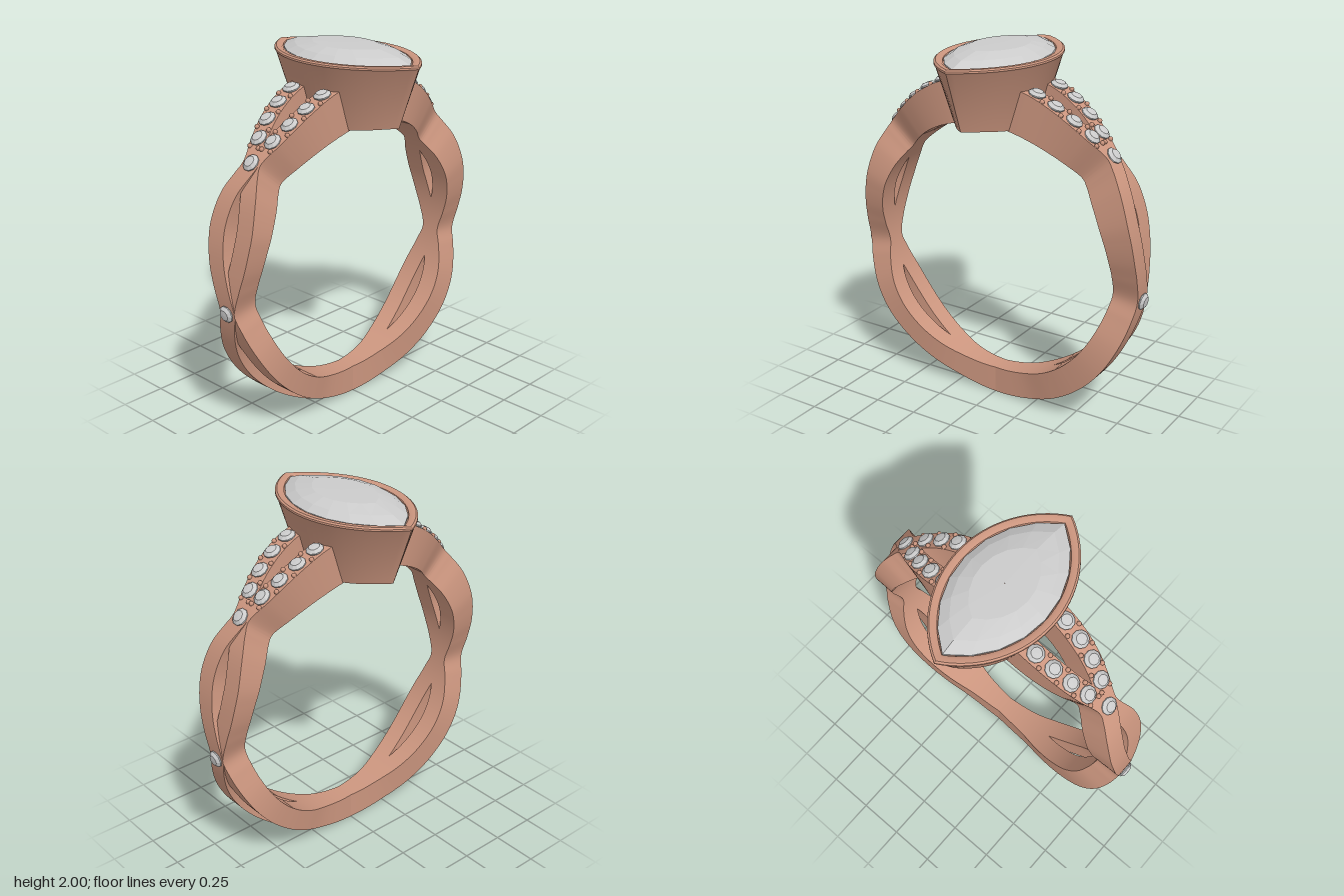
import * as THREE from 'three';
import { toCreasedNormals } from 'three/addons/utils/BufferGeometryUtils.js';

const CY = 0.88, INNER = 0.728, HALF_W = 0.055;
const metal = new THREE.MeshStandardMaterial({ color: 0xcc967f });
const gem = new THREE.MeshStandardMaterial({ color: 0xcccccc, flatShading: true });

function mesh(name, geo, mat) {
  const m = new THREE.Mesh(geo, mat);
  m.name = name;
  return m;
}

// Skins a row of closed cross-sections
function loft(sections, crease = 0.5) {
  const pos = [], index = [], n = sections[0].length;
  sections.forEach(s => s.forEach(p => pos.push(p.x, p.y, p.z)));
  for (let i = 0; i < sections.length - 1; i++)
    for (let j = 0; j < n; j++) {
      const k = (j + 1) % n, a = i * n + j, b = i * n + k;
      index.push(a, b, b + n, a, b + n, a + n);
    }
  const g = new THREE.BufferGeometry();
  g.setAttribute('position', new THREE.Float32BufferAttribute(pos, 3));
  g.setIndex(index);
  return toCreasedNormals(g, crease);
}

// Pointed oval of two arcs: half width b, half length a
function marquise(b, a, y, n) {
  const r = (a * a + b * b) / (2 * b), end = Math.asin(Math.min(1, a / r)), pts = [];
  for (const side of [1, -1])
    for (let i = 0; i < n; i++) {
      const t = end * (1 - 2 * i / n);
      pts.push(new THREE.Vector3(
        side * (r * Math.cos(t) - (r - b)),
        y, side * r * Math.sin(t)));
    }
  return pts;
}

// Point on the ring, angle measured from the bottom
const onRing = (t, r, z) => new THREE.Vector3(r * Math.sin(t), CY - r * Math.cos(t), z);

// Strand path: angle in degrees, sideways offset, outer radius
const path = new THREE.CatmullRomCurve3([
  [0, 0, 0.88], [15, 0.02, 0.88], [27, 0.052, 0.88], [39, 0.075, 0.88], [53, 0.085, 0.88],
  [64, 0.07, 0.877], [75, 0.028, 0.873], [82, 0, 0.871], [91, 0.032, 0.872], [98, 0.06, 0.876],
  [105, 0.077, 0.884], [112, 0.083, 0.893], [122, 0.06, 0.908], [129, 0.022, 0.912], [133, 0.006, 0.915],
  [141.6, 0.05, 0.917], [148.6, 0.08, 0.928], [155.6, 0.1, 0.941], [162.5, 0.111, 0.953], [169, 0.114, 0.958],
].map(([d, z, r]) => new THREE.Vector3(THREE.MathUtils.degToRad(d), z, r)));
const samples = path.getPoints(152);

// Path values at an angle
function pathAt(deg) {
  const t = THREE.MathUtils.degToRad(deg);
  return samples.reduce((a, b) => Math.abs(b.x - t) < Math.abs(a.x - t) ? b : a);
}

// One strand with a flat four-sided section; the lower one dips between crossings
function strand(side) {
  return loft(samples.map(({ x: t, y: z, z: r }) => {
    const deg = THREE.MathUtils.radToDeg(t);
    let dip = 0;
    if (side < 0 && deg < 82) dip = 0.035 * Math.sin(Math.PI * deg / 82);
    else if (side < 0 && deg < 133) dip = 0.03 * Math.sin(Math.PI * (deg - 82) / 51);
    const R = r - dip, c = side * z;
    return [onRing(t, R, c + HALF_W), onRing(t, R, c - HALF_W),
      onRing(t, INNER, c - HALF_W), onRing(t, INNER, c + HALF_W)];
  }));
}

const smallGem = new THREE.LatheGeometry(
  [[0, -0.04], [0.046, 0], [0.046, 0.006], [0.029, 0.02], [0, 0.022]].map(p => new THREE.Vector2(...p)), 10);
const bead = new THREE.SphereGeometry(0.013, 8, 6);

function place(m, t, r, z) {
  m.position.copy(onRing(t, r, z));
  m.quaternion.setFromUnitVectors(new THREE.Vector3(0, 1, 0), new THREE.Vector3(Math.sin(t), -Math.cos(t), 0));
  return m;
}

function halfShank() {
  const g = new THREE.Group();
  g.name = 'halfShank';
  const stone = (name, deg, side) => {
    const p = pathAt(deg);
    g.add(place(mesh(name, smallGem, gem), p.x, p.z + 0.004, side * p.y));
  };
  stone('sideStone', 82, 0);
  stone('shoulderStone', 133, 0);
  for (const side of [1, -1]) {
    g.add(mesh('strand', strand(side), metal));
    for (const deg of [141.6, 148.6, 155.6, 162.5]) {
      stone('shoulderStone', deg, side);
      // Beads holding the stones, on both edges of the strand
      const p = pathAt(deg - 3.6);
      for (const e of [-1, 1])
        g.add(place(mesh('bead', bead, metal), p.x, p.z + 0.004, side * p.y + e * 0.043));
    }
  }
  return g;
}

// Bezel wall: from the hole below, out, up, over the rim and back inside
function bezel() {
  const rows = [
    [0.1, 0.2, 0], [0.19, 0.37, 0], [0.29, 0.487, 1.93], [0.296, 0.495, 1.938], [0.295, 0.494, 1.947],
    [0.286, 0.483, 1.954], [0.265, 0.458, 1.954], [0.25, 0.442, 1.947], [0.245, 0.435, 1.92],
    [0.1, 0.2, 1.75], [0.1, 0.2, 0],
  ];
  return loft(rows.map(([b, a, y]) => {
    const loop = marquise(b, a, y, 32);
    // The underside follows the finger hole
    if (!y) loop.forEach(p => { p.y = CY + Math.sqrt(0.733 ** 2 - p.x ** 2); });
    return loop;
  }), 0.6);
}

function centreStone() {
  const rows = [[0.001, 0.002, 1.72], [0.15, 0.27, 1.82], [0.247, 0.438, 1.935], [0.247, 0.438, 1.946],
    [0.205, 0.36, 1.975], [0.14, 0.23, 1.998], [0.001, 0.002, 2]];
  return loft(rows.map(([b, a, y]) => marquise(b, a, y, 8)), 0.01);
}

export function createModel() {
  const ring = new THREE.Group();
  ring.name = 'ring';
  const left = halfShank(), right = halfShank();
  right.rotation.y = Math.PI;
  ring.add(left, right, mesh('bezel', bezel(), metal), mesh('centreStone', centreStone(), gem));
  return ring;
}
